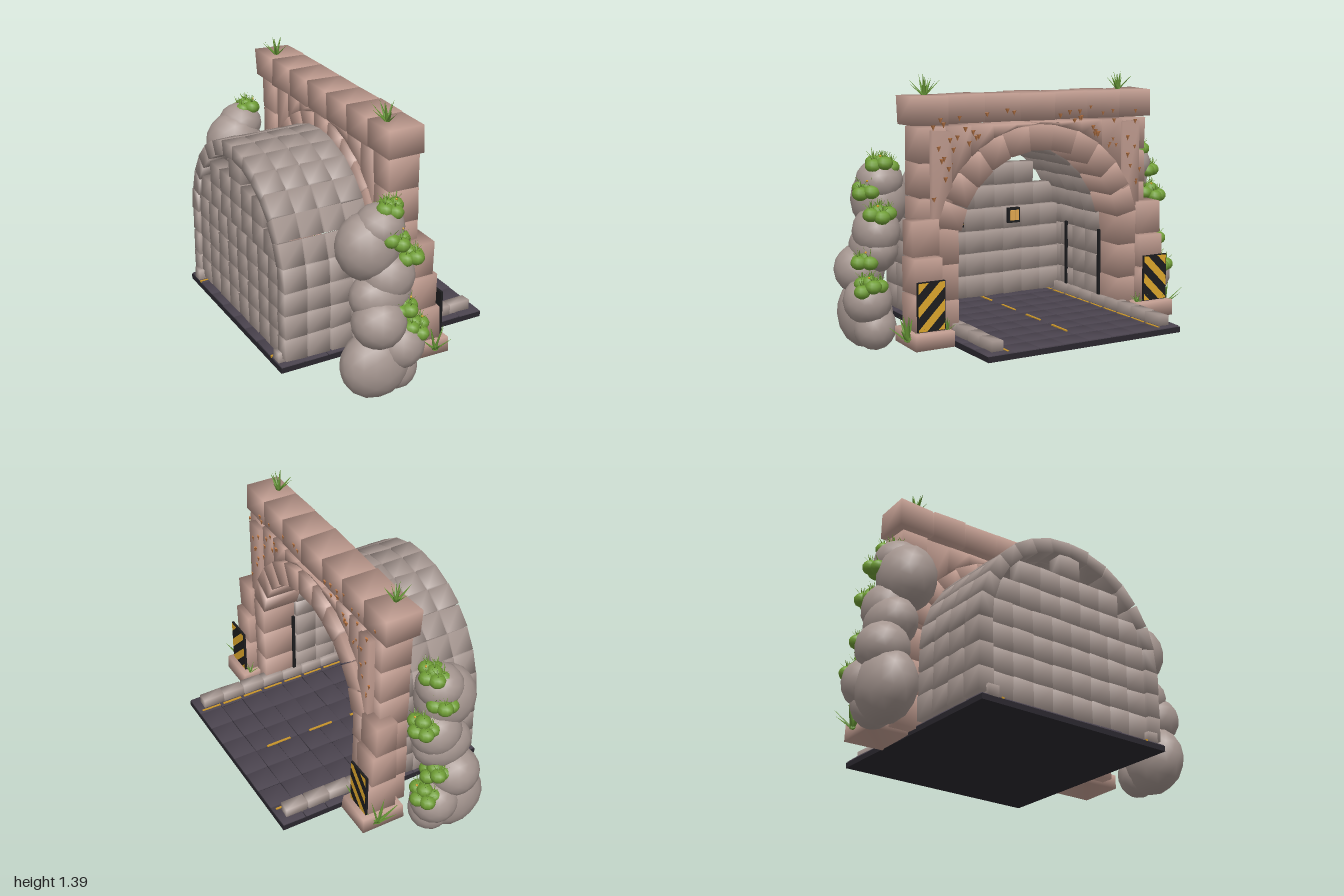
import * as THREE from 'three';
import { mergeVertices, mergeGeometries } from 'three/addons/utils/BufferGeometryUtils.js';

const mat = (color, opts = {}) => new THREE.MeshStandardMaterial({ color, ...opts });
const M = {
  portal: mat(0xc09c90), tunnel: mat(0xa89993), rock: mat(0xa59690),
  road: mat(0x4a434e), slab: mat(0x2a272e), line: mat(0xc8952a),
  black: mat(0x1c1c1e), yellow: mat(0xdca62c), lamp: mat(0xe0a850),
  leaf: mat(0x6f9d35), grass: mat(0x6a9a38, { side: THREE.DoubleSide }), rust: mat(0xc07a48),
};

let seed = 7;
const rand = () => (seed = (seed * 16807) % 2147483647) / 2147483647;
const jit = (a) => (rand() - 0.5) * 2 * a;

// Worn stone block with shared, softly shaded corners, from min and max bounds
function block(x0, x1, y0, y1, z0, z1, wear = 0.004, rule) {
  const g = new THREE.BoxGeometry(x1 - x0, y1 - y0, z1 - z0);
  g.deleteAttribute('uv');
  g.deleteAttribute('normal');
  g.translate((x0 + x1) / 2, (y0 + y1) / 2, (z0 + z1) / 2);
  const b = mergeVertices(g, 1e-5), p = b.attributes.position;
  for (let i = 0; i < p.count; i++) {
    let v = [p.getX(i), p.getY(i), p.getZ(i)];
    if (rule) v = rule(...v);
    p.setXYZ(i, v[0] + jit(wear), v[1] + jit(wear), v[2] + jit(wear));
  }
  b.computeVertexNormals();
  return b;
}
const box = (x0, x1, y0, y1, z0, z1) =>
  new THREE.BoxGeometry(x1 - x0, y1 - y0, z1 - z0).translate((x0 + x1) / 2, (y0 + y1) / 2, (z0 + z1) / 2);
// Block given on the +z side, placed on side s
const sideBlock = (s, x0, x1, y0, y1, z0, z1, wear) =>
  s > 0 ? block(x0, x1, y0, y1, z0, z1, wear) : block(x0, x1, y0, y1, -z1, -z0, wear);
// Arch block between two angles and two radii about height cy
const archBlock = (x0, x1, cy, r0, r1, a0, a1) =>
  block(x0, x1, r0, r1, -a1, -a0, 0.003, (x, r, na) => [x, cy + r * Math.sin(-na), r * Math.cos(na)]);

// Fan of pointed blades
function tuft(x, y, z, h, spread, n) {
  const out = [];
  for (let i = 0; i < n; i++) {
    const len = h * (0.9 + 0.3 * rand()), a = (i / n) * Math.PI * 2 + jit(0.3);
    const g = new THREE.ConeGeometry(h * 0.12, len, 4).scale(0.4, 1, 1).translate(0, len / 2, 0);
    g.rotateZ(-spread * (i % 3 ? 0.75 + 0.25 * rand() : 0.3)).rotateY(a).translate(x, y, z);
    out.push(g);
  }
  return out;
}

export function createModel() {
  const root = new THREE.Group();
  const part = (name, geos, material) => {
    const m = new THREE.Mesh(mergeGeometries(geos), material);
    m.name = name;
    root.add(m);
  };

  // Road: slab, paving tiles, markings and kerbs
  part('roadSlab', [box(-0.585, 0.583, 0.08, 0.108, -0.56, 0.56)], M.slab);
  const tiles = [], lines = [], kerbs = [];
  for (let i = 0; i < 9; i++) {
    const x = -0.584 + i * 0.1295;
    for (let j = 0; j < 8; j++) {
      const z = -0.56 + j * 0.14;
      tiles.push(block(x + 0.003, x + 0.127, 0.085, 0.115, z + 0.003, z + 0.137, 0.002));
    }
    for (const s of [-1, 1]) lines.push(box(x, x + 0.11, 0.1, 0.118, s * 0.441 - 0.006, s * 0.441 + 0.006));
    if (i % 2) lines.push(box(x - 0.08, x + 0.06, 0.11, 0.12, -0.006, 0.006));
  }
  for (const s of [-1, 1]) for (let i = 0; i < 9; i++) {
    const x = -0.58 + i * 0.125;
    kerbs.push(sideBlock(s, x, x + 0.12, 0.105, 0.167, 0.457, 0.517, 0.003));
  }
  part('roadTiles', tiles, M.road);
  part('roadMarkings', lines, M.line);
  part('kerbs', kerbs, M.tunnel);

  // Tunnel vault: straight courses, then rings of arch blocks
  const vault = [], cy = 0.51, rings = 14;
  for (let c = 0; c < 4; c++) {
    const x0 = -0.56 + c * 0.125, x1 = x0 + 0.119;
    for (const s of [-1, 1]) for (let r = 0; r < 3; r++) {
      const y = 0.135 + r * 0.125;
      vault.push(sideBlock(s, x0, x1, y, y + 0.121, 0.48, 0.56));
    }
    for (let k = 0; k < rings; k++) {
      const a = (k * Math.PI) / rings;
      vault.push(archBlock(x0, x1, cy, 0.485, 0.56, a + 0.004, a + Math.PI / rings - 0.004));
    }
  }
  part('tunnelVault', vault, M.tunnel);

  // Back wall, stepping in under the vault
  const wall = [];
  [8, 8, 8, 8, 7, 5, 1].forEach((n, r) => {
    const y = 0.13 + r * 0.125, w = n === 8 ? 0.119 : n === 1 ? 0.135 : 0.126;
    for (let i = 0; i < n; i++) {
      const z = (i - n / 2) * w;
      wall.push(block(-0.55, -0.47, y, y + 0.119, z + 0.002, z + w - 0.002, 0.003));
    }
  });
  part('backWall', wall, M.tunnel);

  // Dark posts along the inner side walls
  const posts = [];
  for (const s of [-1, 1]) for (const x of [-0.37, -0.04])
    posts.push(box(x - 0.008, x + 0.008, 0.13, 0.53, s * 0.476 - 0.007, s * 0.476 + 0.007));
  part('wallPosts', posts, M.black);

  // Wall lamps
  const frames = [], lamps = [];
  for (const z of [-0.175, 0.18]) {
    frames.push(box(-0.48, -0.445, 0.535, 0.62, z - 0.037, z + 0.037));
    for (const d of [-0.014, 0.014]) lamps.push(box(-0.45, -0.435, 0.55, 0.607, z + d - 0.012, z + d + 0.012));
  }
  part('lampFrames', frames, M.black);
  part('lamps', lamps, M.lamp);

  // Portal arch ring
  const arch = [], acy = 0.53, a0 = 0.2, step = (Math.PI - 2 * a0) / 11;
  for (let k = 0; k < 11; k++)
    arch.push(archBlock(-0.07, 0.14, acy, 0.48, 0.605, a0 + k * step + 0.008, a0 + (k + 1) * step - 0.008));
  part('portalArch', arch, M.portal);

  // Columns filling the wall between arch and coping
  const fill = [];
  for (let i = 0; i < 8; i++) {
    const z = -0.52 + i * 0.13;
    fill.push(block(-0.055, 0.112, 0, 1.145, z + 0.002, z + 0.128, 0.003, (x, y, zz) =>
      [x, y > 1 ? y : acy + Math.sqrt(0.607 ** 2 - zz * zz), zz]));
  }
  part('portalInfill', fill, M.portal);

  // Coping stones
  const coping = [];
  for (let i = 0; i < 7; i++) {
    const z = -0.71 + i * 0.2025;
    coping.push(block(-0.088, 0.102, 1.156, 1.298, z + 0.004, z + 0.198));
  }
  part('coping', coping, M.portal);

  // Piers, pilasters, jambs, stepped buttresses and footings
  const piers = [], buttresses = [], footings = [];
  for (const s of [-1, 1]) {
    for (let r = 0; r < 6; r++) {
      const y = 0.1 + r * 0.175;
      piers.push(sideBlock(s, -0.062, 0.102, y, y + 0.17, 0.53, 0.672));
    }
    piers.push(sideBlock(s, 0.02, 0.134, 0.68, 1.13, 0.51, 0.615));
    for (let r = 0; r < 3; r++) {
      const y = 0.11 + r * 0.18;
      piers.push(sideBlock(s, -0.05, 0.138, y, y + 0.175, 0.482, 0.595));
    }
    [0.2, 0.178, 0.155].forEach((x, r) =>
      buttresses.push(sideBlock(s, 0.042, x, 0.16 + r * 0.182, 0.335 + r * 0.182, 0.592, 0.745 - r * 0.004)));
    footings.push(sideBlock(s, 0.005, 0.243, 0.08, 0.157, 0.56, 0.768, 0.006));
  }
  part('piers', piers, M.portal);
  part('buttresses', buttresses, M.portal);
  part('footings', footings, M.portal);

  // Hazard boards with diagonal stripes
  const boards = [], stripes = [];
  for (const s of [-1, 1]) {
    boards.push(box(0.203, 0.215, 0.165, 0.412, s * 0.67 - 0.075, s * 0.67 + 0.075));
    for (let k = 0; k < 4; k++) {
      const g = new THREE.PlaneGeometry(0.142, 1, 24, 1), p = g.attributes.position;
      for (let i = 0; i < p.count; i++) {
        const y = -0.21 + k * 0.115 + s * p.getX(i) + (p.getY(i) > 0 ? 0.055 : 0);
        p.setY(i, THREE.MathUtils.clamp(y, -0.12, 0.12));
      }
      stripes.push(g.rotateY(Math.PI / 2).translate(0.217, 0.288, s * 0.67));
    }
  }
  part('hazardBoards', boards, M.black);
  part('hazardStripes', stripes, M.yellow);

  // Rust chips scattered over the portal face
  const chips = [];
  while (chips.length < 50) {
    const z = jit(0.62), y = 0.74 + rand() * 0.48;
    if (Math.hypot(z, y - acy) < 0.63) continue;
    const face = y > 1.15 ? 0.102 : Math.abs(z) > 0.51 ? 0.134 : 0.112;
    chips.push(new THREE.ConeGeometry(0.013, 0.028, 4).rotateZ(Math.PI).scale(0.5, 1, 1).translate(face, y, z));
  }
  part('rustChips', chips, M.rust);

  // Boulders and shrubs heaped beside each pier, the lower ones sitting lower on the -z side
  const rocks = [], leaves = [], blades = [], flowers = [];
  const rockList = [ // x, y, z, then radii
    [-0.22, 0.19, 0.835, 0.185, 0.18, 0.135], [-0.11, 0.28, 0.865, 0.125, 0.125, 0.125],
    [-0.11, 0.14, 0.83, 0.11, 0.12, 0.11], [-0.22, 0.42, 0.86, 0.135, 0.13, 0.13],
    [-0.18, 0.53, 0.8, 0.16, 0.13, 0.12], [-0.14, 0.62, 0.8, 0.135, 0.13, 0.12],
    [-0.22, 0.77, 0.745, 0.16, 0.17, 0.145], [-0.17, 0.87, 0.765, 0.12, 0.11, 0.12]];
  const shrubList = [[-0.13, 0.945, 0.77], [-0.135, 0.825, 0.84], [-0.045, 0.71, 0.825],
    [-0.1, 0.475, 0.87], [-0.04, 0.36, 0.88]];
  for (const s of [-1, 1]) {
    const sink = (y) => (s < 0 && y > 0.25 && y < 0.5 ? y - 0.05 : y);
    for (const [x, y, z, rx, ry, rz] of rockList) {
      const g = new THREE.IcosahedronGeometry(1, 2);
      g.deleteAttribute('uv');
      g.deleteAttribute('normal');
      const b = mergeVertices(g, 1e-4).scale(rx, ry, rz).translate(x, sink(y), s * z);
      b.computeVertexNormals();
      rocks.push(b);
    }
    for (const [x, y, z] of shrubList) {
      for (let i = 0; i < 6; i++) {
        const a = (i / 5) * Math.PI * 2, d = i < 5 ? 0.05 : 0;
        const bx = x + 0.8 * d * Math.cos(a), bz = s * z + d * Math.sin(a);
        const by = sink(y) + (i < 5 ? jit(0.018) : 0.022);
        leaves.push(new THREE.SphereGeometry(0.042, 10, 7).scale(1, 0.85, 1).translate(bx, by, bz));
        blades.push(...tuft(bx, by + 0.02, bz, 0.05, 0.85, 6));
      }
      flowers.push(new THREE.SphereGeometry(0.006, 6, 4).translate(x + 0.035, sink(y) + 0.055, s * z + 0.02));
    }
  }
  part('boulders', rocks, M.rock);
  part('shrubs', leaves, M.leaf);
  part('shrubBlades', blades, M.leaf);
  part('flowers', flowers, M.yellow);

  // Grass tufts on the coping and at the footings
  const grass = [];
  for (const s of [-1, 1]) {
    grass.push(...tuft(-0.025, 1.29, s * 0.58, 0.1, 0.9, 10));
    grass.push(...tuft(0.16, 0.115, s * 0.775, 0.125, 0.95, 11));
    grass.push(...tuft(0.19, 0.15, s * 0.575, 0.07, 0.9, 6));
  }
  part('grassTufts', grass, M.grass);
  return root;
}
